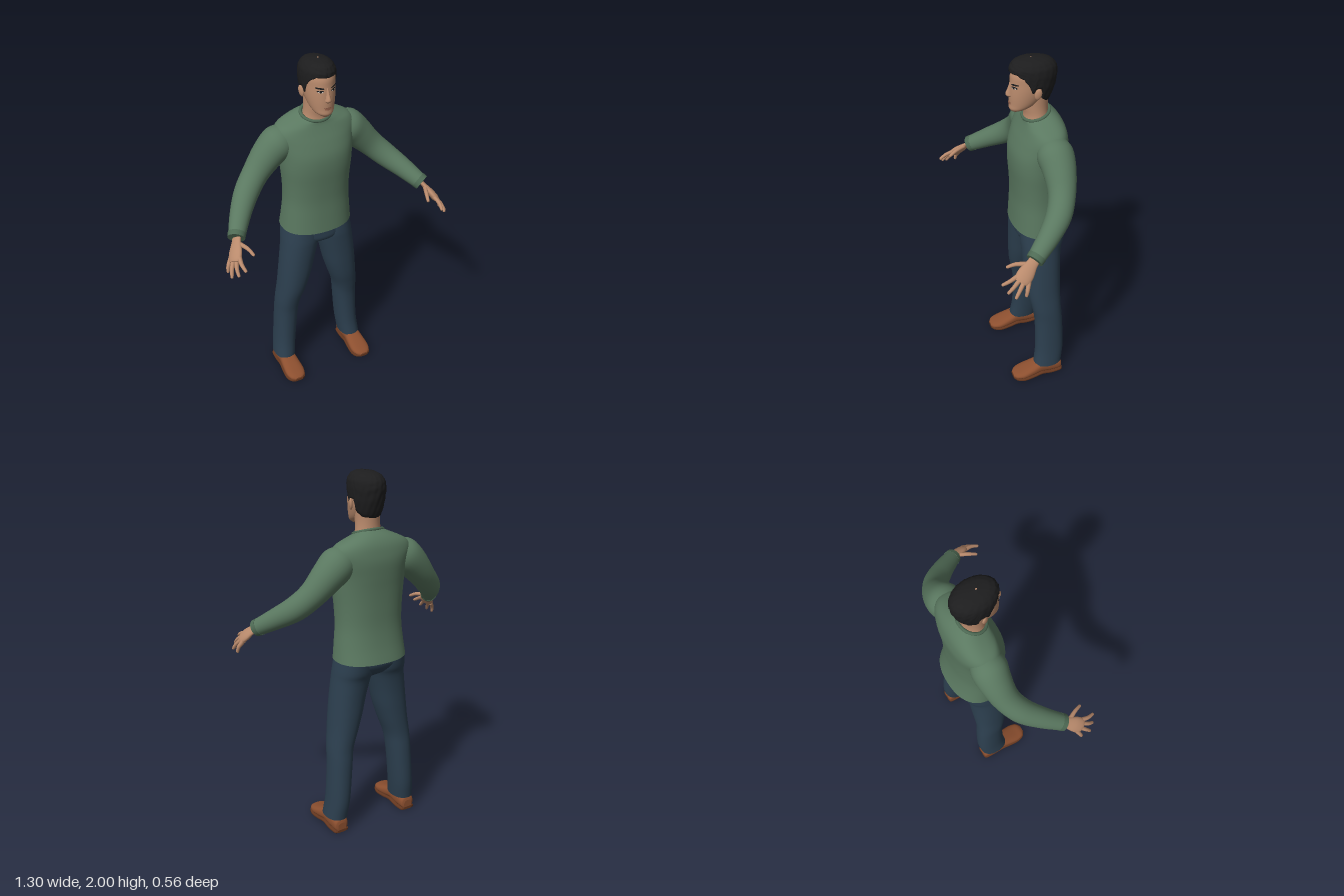
import * as THREE from 'three';

const V = (a) => new THREE.Vector3(...a);
const mat = (name, color, side = THREE.FrontSide) => {
  const m = new THREE.MeshStandardMaterial({ color, side });
  m.name = name;
  return m;
};
const pw = (t, n) => Math.sign(t) * Math.pow(Math.abs(t), 2 / n);

// Smooth closed skin through sections {c, u, v}: centre and two half-axes; n is the superellipse power
function loft(secs, { n = 2, seg = 32, steps = 4, side = 1 } = {}) {
  const [C, U, W] = ['c', 'u', 'v'].map((k) => new THREE.CatmullRomCurve3(secs.map((s) => V(s[k])), false, 'catmullrom', 0.5));
  const rows = (secs.length - 1) * steps, pos = [], idx = [];
  const ringAt = (r) => {
    const t = r / rows, c = C.getPoint(t), u = U.getPoint(t), v = W.getPoint(t);
    for (let j = 0; j < seg; j++) {
      const a = (j / seg) * Math.PI * 2;
      const p = c.clone().addScaledVector(u, pw(Math.cos(a), n)).addScaledVector(v, pw(Math.sin(a), n));
      pos.push(p.x * side, p.y, p.z);
    }
    return { c, u, v };
  };
  for (let r = 0; r <= rows; r++) ringAt(r);
  const d = V(secs[1].c).sub(V(secs[0].c));
  const flip = V(secs[0].u).cross(V(secs[0].v)).dot(d) * side < 0;
  const tri = (a, b, c) => (flip ? idx.push(a, c, b) : idx.push(a, b, c));
  for (let r = 0; r < rows; r++) for (let j = 0; j < seg; j++) {
    const k = (j + 1) % seg, a = r * seg + j, b = r * seg + k;
    tri(a, b, a + seg); tri(b, b + seg, a + seg);
  }
  for (const r of [0, rows]) { // end caps
    const base = pos.length / 3, { c } = ringAt(r);
    pos.push(c.x * side, c.y, c.z);
    for (let j = 0; j < seg; j++) {
      const k = (j + 1) % seg;
      r ? tri(base + seg, base + j, base + k) : tri(base + seg, base + k, base + j);
    }
  }
  const g = new THREE.BufferGeometry();
  g.setAttribute('position', new THREE.Float32BufferAttribute(pos, 3));
  g.setIndex(idx);
  g.computeVertexNormals();
  return g;
}

// Horizontal section from half-width, front z, back z, centre x and forward tilt
const slice = (y, rx, zf, zb, cx = 0, tilt = 0) =>
  ({ c: [cx, y, (zf + zb) / 2], u: [rx, 0, 0], v: [0, -tilt, (zf - zb) / 2] });

// Sections square to a path; flat thins the limb along ref
function limb(points, radii, ref = [0, 0, 1], flat = 1) {
  return points.map((p, i) => {
    const d = V(points[Math.min(i + 1, points.length - 1)]).sub(V(points[Math.max(i - 1, 0)])).normalize();
    const u = d.clone().cross(V(ref)).normalize(), v = d.clone().cross(u);
    return { c: p, u: u.multiplyScalar(radii[i]).toArray(), v: v.multiplyScalar(radii[i] * flat).toArray() };
  });
}

// Linear lookup in rows of [key, ...values]
function lookup(rows, key) {
  let i = 0;
  while (i < rows.length - 2 && key > rows[i + 1][0]) i++;
  const t = THREE.MathUtils.clamp((key - rows[i][0]) / (rows[i + 1][0] - rows[i][0]), 0, 1);
  return rows[i].slice(1).map((a, k) => a + (rows[i + 1][k + 1] - a) * t);
}

// Height, half-width, front z, back z
const HEAD = [[1.718, 0.02, 0.025, -0.02], [1.735, 0.046, 0.037, -0.06], [1.76, 0.062, 0.036, -0.11], [1.8, 0.074, 0.037, -0.155],
  [1.84, 0.081, 0.035, -0.18], [1.88, 0.084, 0.031, -0.195], [1.92, 0.083, 0.027, -0.195], [1.96, 0.068, 0.005, -0.175], [1.985, 0.03, -0.04, -0.12]];
const HAIR = [[1.76, 0.07, 0.03, -0.165], [1.8, 0.08, 0.03, -0.185], [1.86, 0.089, 0.033, -0.203], [1.92, 0.091, 0.035, -0.211],
  [1.955, 0.086, 0.034, -0.204], [1.98, 0.068, 0.018, -0.18], [1.993, 0.045, -0.01, -0.145], [2.0, 0.004, -0.07, -0.08]];
// Angle from the front, hairline height
const HAIRLINE = [[0, 1.933], [0.6, 1.936], [0.95, 1.915], [1.2, 1.88], [1.32, 1.84], [1.42, 1.84], [1.5, 1.866], [1.75, 1.862], [1.9, 1.8], [2.3, 1.775], [3.15, 1.768]];

const faceZ = (x, y) => {
  const [rx, zf, zb] = lookup(HEAD, y);
  return (zf + zb) / 2 + ((zf - zb) / 2) * Math.sqrt(Math.max(0, 1 - (x / rx) ** 2));
};

function hairGeometry() {
  const seg = 80, rows = 22, g = new THREE.PlaneGeometry(1, 1, seg, rows), p = g.attributes.position;
  for (let r = 0; r <= rows; r++) for (let j = 0; j <= seg; j++) {
    const a = ((j % seg) / seg) * Math.PI * 2, low = lookup(HAIRLINE, Math.min(a, Math.PI * 2 - a))[0];
    const t = 1 - Math.max(0, r - 1) / (rows - 1), y = low + (2.0 - low) * (1 - t * t);
    // row order runs crown to hairline, with the last row tucked in
    const yy = 2.0 - (2.0 - low) * Math.pow(Math.min(1, r / (rows - 1)), 1.6);
    const [rx, zf, zb] = lookup(HAIR, yy);
    const lump = 0.016 * Math.sin(a * 13 + yy * 160) * Math.sin(yy * 210 - a * 5) + 0.01 * Math.sin(a * 29 + yy * 90);
    const k = r === rows ? 0.86 : 1 + (r ? lump : 0);
    p.setXYZ(r * (seg + 1) + j, Math.sin(a) * rx * k, yy, (zf + zb) / 2 + Math.cos(a) * ((zf - zb) / 2) * k);
  }
  g.computeVertexNormals();
  return g;
}

export function createModel() {
  const model = new THREE.Group();
  model.name = 'standingMan';
  const skin = mat('skin', 0xb98a6c), green = mat('sweaterGreen', 0x5a7860), rib = mat('ribbedEdge', 0x4e6a54);
  const denim = mat('denimBlue', 0x2c3f4f), leather = mat('brownLeather', 0x8c4f2f), soleMat = mat('darkSole', 0x65371f);
  const black = mat('hairBlack', 0x1d1d1e, THREE.DoubleSide), white = mat('eyeWhite', 0xcfc4ba), lip = mat('lips', 0x99654f);
  const add = (name, geo, m) => {
    const mesh = new THREE.Mesh(geo, m);
    mesh.name = name;
    model.add(mesh);
    return mesh;
  };

  // Sweater body, flared at the hem and sloping into the neckline
  add('sweaterBody', loft([
    slice(1.01, 0.205, 0.03, -0.278), slice(1.1, 0.196, 0.025, -0.258), slice(1.2, 0.188, 0.021, -0.245),
    slice(1.3, 0.191, 0.025, -0.243), slice(1.4, 0.2, 0.031, -0.245), slice(1.48, 0.207, 0.026, -0.25),
    slice(1.55, 0.22, 0.004, -0.253), slice(1.6, 0.228, -0.017, -0.247), slice(1.638, 0.205, -0.03, -0.235, 0, 0.006),
    slice(1.665, 0.15, -0.036, -0.212, 0, 0.015), slice(1.688, 0.084, -0.038, -0.175, 0, 0.023),
  ], { n: 2.3, seg: 48 }), green);
  const collar = Array.from({ length: 24 }, (_, i) => {
    const a = (i / 24) * Math.PI * 2;
    return new THREE.Vector3(Math.sin(a) * 0.08, 1.689 - 0.023 * Math.cos(a), -0.106 + 0.067 * Math.cos(a));
  });
  add('collar', new THREE.TubeGeometry(new THREE.CatmullRomCurve3(collar, true), 48, 0.009, 8, true), rib);

  // Trouser seat
  add('trouserSeat', loft([slice(1.03, 0.19, 0.0, -0.25), slice(0.98, 0.19, 0.004, -0.247),
    slice(0.935, 0.13, 0, -0.215), slice(0.9, 0.04, -0.05, -0.16)], { n: 2.4 }), denim);

  // Neck and head
  add('neck', loft([slice(1.64, 0.085, -0.035, -0.18), slice(1.69, 0.07, -0.042, -0.168),
    slice(1.74, 0.065, -0.035, -0.166), slice(1.8, 0.066, -0.03, -0.17)]), skin);
  add('head', loft(HEAD.map((s) => slice(...s)), { seg: 40 }), skin);
  add('nose', loft([[1.878, 0.007, 0.034], [1.848, 0.009, 0.045], [1.822, 0.014, 0.056], [1.81, 0.017, 0.054], [1.801, 0.011, 0.043]]
    .map(([y, rx, zf]) => slice(y, rx, zf, 0.01)), { seg: 16 }), skin);
  add('hair', hairGeometry(), black);

  // Thin face details laid over the head surface
  const decal = (name, m, x, y, w, h, lift, slant = 0) => {
    const g = new THREE.CircleGeometry(1, 20), p = g.attributes.position;
    for (let i = 0; i < p.count; i++) {
      const px = x + p.getX(i) * w, py = y + p.getY(i) * h + slant * p.getX(i);
      p.setXYZ(i, px, py, faceZ(px, py) + lift);
    }
    g.computeVertexNormals();
    add(name, g, m);
  };
  decal('upperLip', lip, 0, 1.772, 0.024, 0.004, 0.004);
  decal('lowerLip', lip, 0, 1.765, 0.018, 0.005, 0.003);

  for (const side of [1, -1]) {
    const tag = side > 0 ? 'left' : 'right';
    const part = (name, secs, m, opt = {}) => add(tag + name, loft(secs, { side, ...opt }), m);
    decal(tag + 'Eyebrow', black, side * 0.038, 1.879, 0.02, 0.0045, 0.004, side * 0.002);
    decal(tag + 'EyeLashes', black, side * 0.036, 1.862, 0.016, 0.0065, 0.002);
    decal(tag + 'EyeWhite', white, side * 0.036, 1.86, 0.013, 0.0042, 0.003);
    decal(tag + 'Iris', black, side * 0.036, 1.861, 0.0055, 0.005, 0.004);
    const ear = add(tag + 'Ear', new THREE.SphereGeometry(1, 16, 12), skin);
    ear.scale.set(0.009, 0.031, 0.018);
    ear.position.set(side * 0.09, 1.835, -0.084);
    ear.rotation.set(-0.2, side * -0.3, side * -0.12);

    // Sleeve and cuff
    part('Sleeve', limb([[0.14, 1.58, -0.135], [0.2, 1.548, -0.136], [0.265, 1.49, -0.137], [0.345, 1.405, -0.122],
      [0.42, 1.332, -0.078], [0.49, 1.27, 0.0], [0.557, 1.205, 0.095]], [0.07, 0.094, 0.086, 0.071, 0.066, 0.056, 0.044]), green);
    part('Cuff', limb([[0.547, 1.215, 0.08], [0.56, 1.202, 0.1]], [0.0475, 0.0455]), rib);

    // Hand: flat palm, four fingers and a thumb
    const palm = [0.78, 0.61, 0.12];
    part('Palm', limb([[0.55, 1.212, 0.085], [0.568, 1.19, 0.115], [0.588, 1.16, 0.15], [0.603, 1.136, 0.175], [0.61, 1.125, 0.187]],
      [0.028, 0.03, 0.042, 0.042, 0.034], palm, 0.45), skin, { seg: 20 });
    const digits = {
      IndexFinger: [[0.584, 1.155, 0.185], [0.592, 1.135, 0.235], [0.585, 1.113, 0.277]],
      MiddleFinger: [[0.597, 1.142, 0.182], [0.615, 1.112, 0.223], [0.618, 1.08, 0.257]],
      RingFinger: [[0.609, 1.13, 0.168], [0.633, 1.096, 0.2], [0.645, 1.06, 0.225]],
      LittleFinger: [[0.616, 1.124, 0.147], [0.638, 1.09, 0.162], [0.644, 1.058, 0.17]],
      Thumb: [[0.563, 1.19, 0.13], [0.536, 1.184, 0.187], [0.52, 1.163, 0.232]],
    };
    for (const [name, [a, b, c]] of Object.entries(digits)) {
      const tip = V(c).lerp(V(b), 0.12).toArray();
      part(name, limb([a, b, tip, c], [0.0125, 0.0105, 0.008, 0.003], palm), skin, { seg: 10, steps: 3 });
    }

    // Trouser leg: height, inner x, outer x, front z, back z
    part('TrouserLeg', [[1.02, 0, 0.196, 0, -0.25], [0.95, -0.005, 0.207, 0.005, -0.238], [0.9, 0.006, 0.213, 0.004, -0.22],
      [0.8, 0.03, 0.226, 0, -0.21], [0.7, 0.052, 0.237, -0.005, -0.207], [0.6, 0.083, 0.247, -0.015, -0.205],
      [0.5, 0.117, 0.259, -0.035, -0.205], [0.4, 0.131, 0.264, -0.049, -0.213], [0.2, 0.15, 0.275, -0.05, -0.219],
      [0.08, 0.164, 0.287, -0.036, -0.206]].map(([y, xi, xo, zf, zb]) => slice(y, (xo - xi) / 2, zf, zb, (xi + xo) / 2)),
    denim, { n: 2.2 });

    // Shoe: z, half-width, top height, underside height
    const shoe = [[-0.205, 0.026, 0.06, 0.002], [-0.192, 0.042, 0.085, 0], [-0.13, 0.046, 0.1, 0], [-0.075, 0.048, 0.1, 0.01],
      [-0.02, 0.054, 0.08, 0.004], [0.04, 0.057, 0.058, 0], [0.08, 0.045, 0.046, 0.004], [0.099, 0.022, 0.034, 0.009]];
    const along = (z, w, lo, hi) => ({ c: [0.227, (lo + hi) / 2, z], u: [w, 0, 0], v: [0, (hi - lo) / 2, 0] });
    part('Shoe', shoe.map(([z, w, top, lo]) => along(z, w, lo + 0.006, top)), leather, { n: 2.5 });
    part('ShoeSole', shoe.map(([z, w, , lo]) => along(z * 1.01, w + 0.003, lo, lo + 0.016)), soleMat, { n: 5 });
  }
  return model;
}
